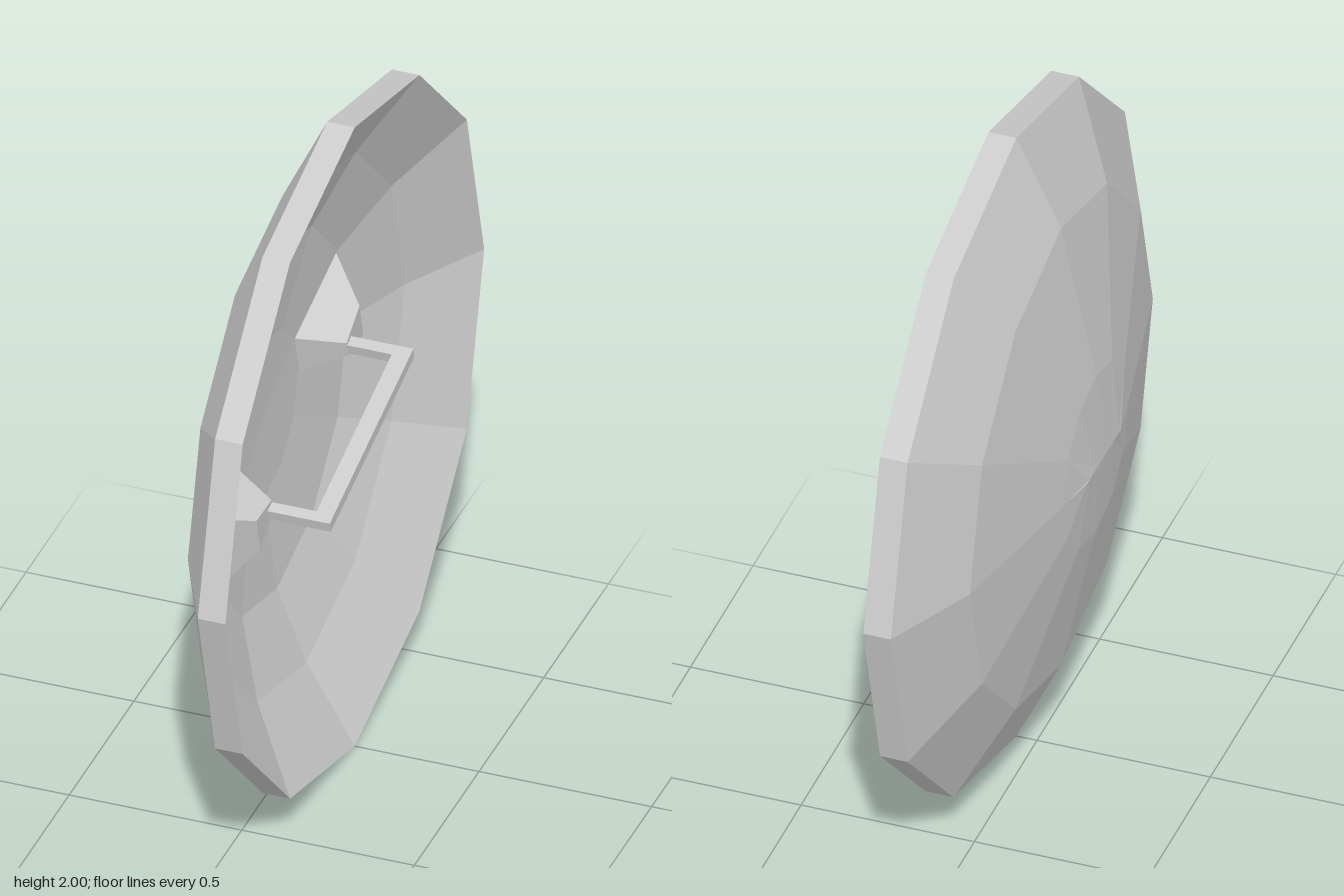
import * as THREE from 'three';

const grey = new THREE.MeshStandardMaterial({ color: 0xcccccc, flatShading: true });

function part(name, geometry, parent) {
  const mesh = new THREE.Mesh(geometry, grey);
  mesh.name = name;
  parent.add(mesh);
  return mesh;
}

// Twelve-sided shell turned around the x axis; profile is [radius, x]
function shell(profile) {
  const points = profile.map(([r, x]) => new THREE.Vector2(r, x));
  return new THREE.LatheGeometry(points, 12).rotateZ(-Math.PI / 2);
}

// Tapered bracket: a box whose corners move to a trapezoid foot and a smaller top
function bracketGeometry() {
  const geo = new THREE.BoxGeometry(1, 1, 1);
  const p = geo.attributes.position;
  for (let i = 0; i < p.count; i++) {
    const top = p.getX(i) > 0, outer = p.getZ(i) < 0, side = Math.sign(p.getY(i));
    const x = top ? 0.01 : outer ? -0.085 : -0.115;
    const half = top ? (outer ? 0.057 : 0.024) : (outer ? 0.14 : 0.067);
    const along = top ? (outer ? 0.412 : 0.3) : (outer ? 0.51 : 0.243);
    p.setXYZ(i, x, side * half, -along);
  }
  geo.computeVertexNormals();
  return geo;
}

export function createModel() {
  const model = new THREE.Group();
  model.name = 'roundShield';

  const body = new THREE.Group();
  body.name = 'shieldBody';
  body.position.y = 1;
  model.add(body);

  // Domed outside with its rim band; the crown closes in a short ridge
  const outer = shell([[0.13, -0.195], [0.26, -0.17], [0.73, -0.07], [1, 0.06], [1, 0.14]]);
  const p = outer.attributes.position;
  for (let i = 0; i < p.count; i++) if (p.getX(i) < -0.19) p.setY(i, 0);
  outer.computeVertexNormals();
  part('outerShell', outer, body);

  // Hollow inside
  part('innerShell', shell([[1, 0.14], [0.76, 0], [0.54, -0.085], [0.25, -0.118], [0, -0.125]]), body);

  // Tilted handle: grip bar, two posts and two brackets
  const handle = new THREE.Group();
  handle.name = 'handle';
  handle.rotation.x = Math.PI / 12;
  body.add(handle);

  part('gripBar', new THREE.BoxGeometry(0.05, 0.032, 0.67), handle).position.x = 0.165;
  for (const turn of [0, Math.PI]) {
    const end = new THREE.Group();
    end.name = 'handleEnd';
    end.rotation.x = turn;
    handle.add(end);
    part('post', new THREE.BoxGeometry(0.15, 0.032, 0.035), end).position.set(0.067, 0, -0.3175);
    part('bracket', bracketGeometry(), end);
  }
  return model;
}
